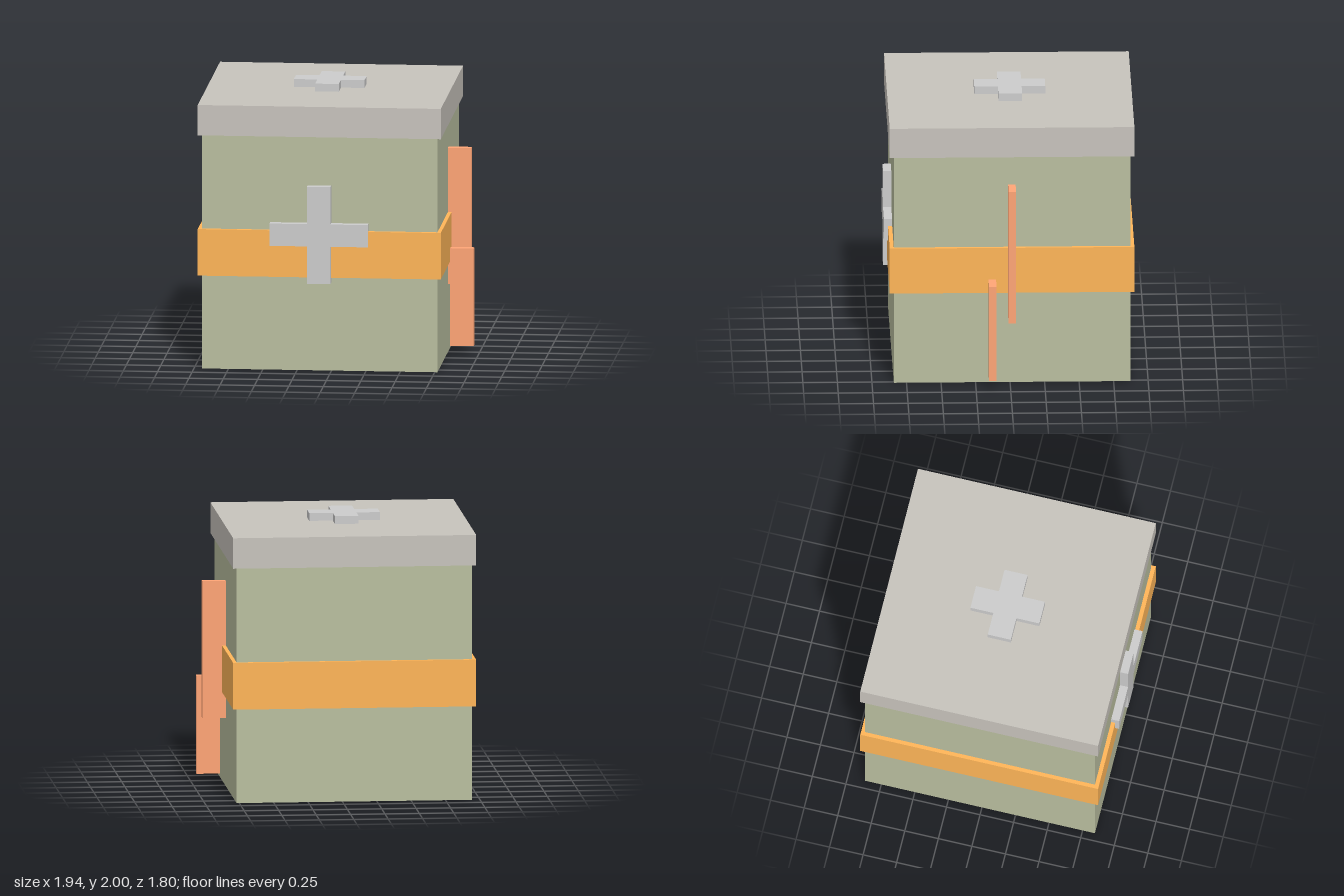
import * as THREE from 'three';

const paint = (color) => new THREE.MeshStandardMaterial({ color });

// Box given by its [min, max] range on each axis
function box(name, [x0, x1], [y0, y1], [z0, z1], material) {
  const mesh = new THREE.Mesh(new THREE.BoxGeometry(x1 - x0, y1 - y0, z1 - z0), material);
  mesh.position.set((x0 + x1) / 2, (y0 + y1) / 2, (z0 + z1) / 2);
  mesh.name = name;
  return mesh;
}

// Flat plus shape: arm length a and half bar widths w (upright) and h (crossbar)
function cross(name, a, w, h, depth, material) {
  const corners = [
    [w, -a], [w, -h], [a, -h], [a, h], [w, h], [w, a],
    [-w, a], [-w, h], [-a, h], [-a, -h], [-w, -h], [-w, -a],
  ];
  const shape = new THREE.Shape(corners.map(([x, y]) => new THREE.Vector2(x, y)));
  const mesh = new THREE.Mesh(
    new THREE.ExtrudeGeometry(shape, { depth, bevelEnabled: false }), material);
  mesh.name = name;
  return mesh;
}

export function createModel() {
  const model = new THREE.Group();
  model.name = 'crate';
  const green = paint(0xb9be9f);
  const stone = paint(0xc7c3bc);
  const orange = paint(0xffb558);
  const coral = paint(0xffa576);
  const grey = paint(0xcccccc);

  // Body, overhanging lid and the band around the middle
  const rim = [-0.97, 0.797];
  const rimDepth = [-0.9, 0.872];
  model.add(box('body', [-0.942, 0.77], [0, 1.72], [-0.872, 0.842], green));
  model.add(box('lid', rim, [1.72, 1.943], rimDepth, stone));
  model.add(box('band', rim, [0.688, 1.03], rimDepth, orange));

  // Two upright slats on the left side
  model.add(box('longSlat', [0.77, 0.94], [0.5, 1.503], [-0.04, 0.014], coral));
  model.add(box('shortSlat', [0.8, 0.97], [0.072, 0.79], [0.102, 0.157], coral));

  // Raised crosses on the front and on the lid
  const frontCross = cross('frontCross', 0.357, 0.086, 0.082, 0.06, grey);
  frontCross.position.set(-0.088, 1.003, 0.842);
  const lidCross = cross('lidCross', 0.257, 0.086, 0.086, 0.057, grey);
  lidCross.rotation.x = -Math.PI / 2;
  lidCross.position.set(-0.088, 1.943, -0.016);
  model.add(frontCross, lidCross);

  return model;
}
